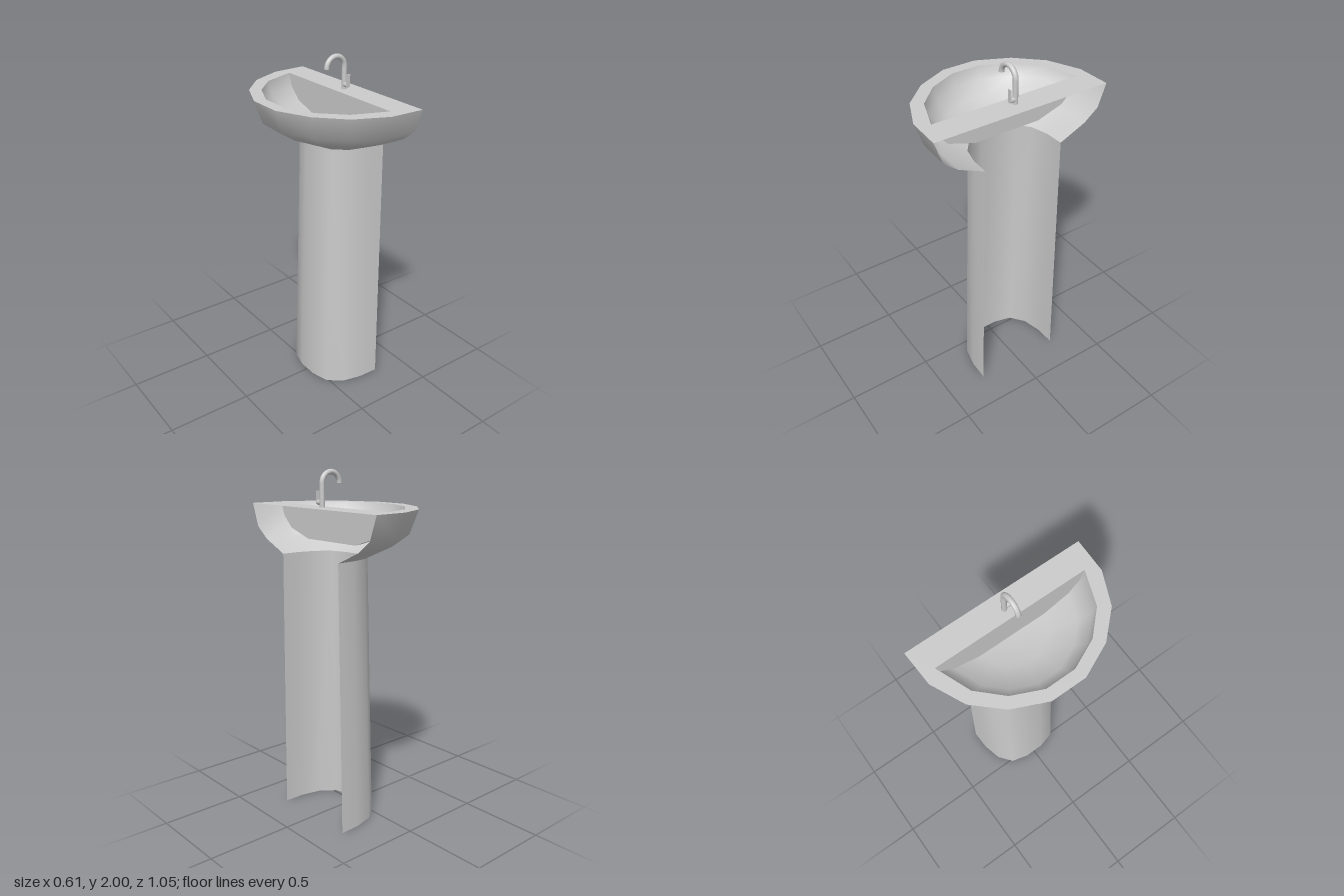
import * as THREE from 'three';

// Half outlines: [depth fraction from the back, half-width fraction]
const RIM = [[0, 1], [0.33, 0.985], [0.636, 0.824], [0.86, 0.55], [1, 0.193]];
const COLUMN = [[0, 1], [0.35, 0.985], [0.68, 0.88], [0.92, 0.63], [1, 0.23]];
const BASIN = [[0, 1], [0.494, 0.834], [0.81, 0.555], [1, 0.19]];
const BACK = 0.305, WALL = 0.155, TOP = 1.8;

// Full open outline from +z, round the front at -x, to -z
function ring(outline, back, front, half) {
  const side = outline.map(([u, w]) => [back + (front - back) * u, half * w]);
  return [...side, ...side.slice().reverse().map(([x, z]) => [x, -z])];
}

// Skin through rings of equal length, listed from top to bottom
function loft(levels, inward = false) {
  const n = levels[0].ring.length, pos = [], idx = [];
  for (const { y, ring: r } of levels) for (const [x, z] of r) pos.push(x, y, z);
  for (let i = 0; i < levels.length - 1; i++) {
    for (let j = 0; j < n - 1; j++) {
      const a = i * n + j, b = a + 1, c = a + n, d = c + 1;
      if (inward) idx.push(a, c, b, b, c, d);
      else idx.push(a, b, c, b, d, c);
    }
  }
  const g = new THREE.BufferGeometry();
  g.setAttribute('position', new THREE.Float32BufferAttribute(pos, 3));
  g.setIndex(idx);
  g.computeVertexNormals();
  return g;
}

export function createModel() {
  const model = new THREE.Group();
  const mat = new THREE.MeshStandardMaterial({ color: 0xcccccc, side: THREE.DoubleSide });
  const add = (name, geometry, parent = model) => {
    const mesh = new THREE.Mesh(geometry, mat);
    mesh.name = name;
    parent.add(mesh);
    return mesh;
  };

  // Outer bowl shell, open at the back
  add('bowlShell', loft([
    [TOP, -0.305, 0.523, RIM], [1.67, -0.26, 0.477, RIM],
    [1.605, -0.17, 0.395, RIM], [1.535, -0.005, 0.238, COLUMN],
  ].map(([y, front, half, o]) => ({ y, ring: ring(o, BACK, front, half) }))));

  // Pedestal, an open half column widening to the floor
  add('pedestal', loft([
    { y: 1.535, ring: ring(COLUMN, BACK, -0.005, 0.238) },
    { y: 0, ring: ring(COLUMN, BACK, -0.04, 0.263) },
  ]));

  // Basin hollow, the last ring closing the floor
  const basin = [
    [TOP, -0.24, 0.447], [1.73, -0.22, 0.425], [1.66, -0.155, 0.355],
    [1.61, -0.02, 0.2], [1.61, WALL, 0],
  ].map(([y, front, half]) => ({ y, ring: ring(BASIN, WALL, front, half) }));
  add('basin', loft(basin, true));

  // Flat back wall of the basin
  const wall = basin.slice(0, 4).map((l) => [l.ring[0][1], l.y]);
  const wallShape = new THREE.Shape([...wall, ...wall.slice().reverse().map(([z, y]) => [-z, y])]
    .map(([z, y]) => new THREE.Vector2(z, y)));
  const wallMesh = add('basinBackWall', new THREE.ShapeGeometry(wallShape).rotateY(-Math.PI / 2));
  wallMesh.position.x = WALL;

  // Flat rim and tap deck with the basin cut out
  const toPoints = (r) => r.map(([x, z]) => new THREE.Vector2(x, z));
  const rim = new THREE.Shape(toPoints(ring(RIM, BACK, -0.305, 0.523)));
  rim.holes.push(new THREE.Path(toPoints(basin[0].ring)));
  add('rim', new THREE.ShapeGeometry(rim).rotateX(-Math.PI / 2)).position.y = TOP;

  // Swan-neck tap
  const tap = new THREE.Group();
  tap.name = 'tap';
  model.add(tap);
  const path = new THREE.CurvePath();
  const v = (x, y) => new THREE.Vector3(x, y, -0.002);
  const k = 0.0331, r = 0.06, cx = 0.154, cy = 1.926;
  path.add(new THREE.LineCurve3(v(cx + r, 1.79), v(cx + r, cy)));
  path.add(new THREE.CubicBezierCurve3(v(cx + r, cy), v(cx + r, cy + k), v(cx + k, cy + r), v(cx, cy + r)));
  path.add(new THREE.CubicBezierCurve3(v(cx, cy + r), v(cx - k, cy + r), v(cx - r, cy + k), v(cx - r, cy)));
  add('spout', new THREE.TubeGeometry(path, 48, 0.0145, 12), tap);
  // End caps of the spout
  for (const [x, y, turn] of [[cx - r, cy, 1], [cx + r, 1.79, 1]]) {
    add('spoutEnd', new THREE.CircleGeometry(0.0145, 12).rotateX(turn * Math.PI / 2), tap)
      .position.set(x, y, -0.002);
  }

  // Side valve and upright lever
  add('valve', new THREE.CylinderGeometry(0.014, 0.014, 0.034, 12).rotateX(Math.PI / 2), tap)
    .position.set(0.214, 1.826, 0.017);
  add('lever', new THREE.BoxGeometry(0.024, 0.07, 0.005), tap).position.set(0.214, 1.852, 0.0325);

  return model;
}
